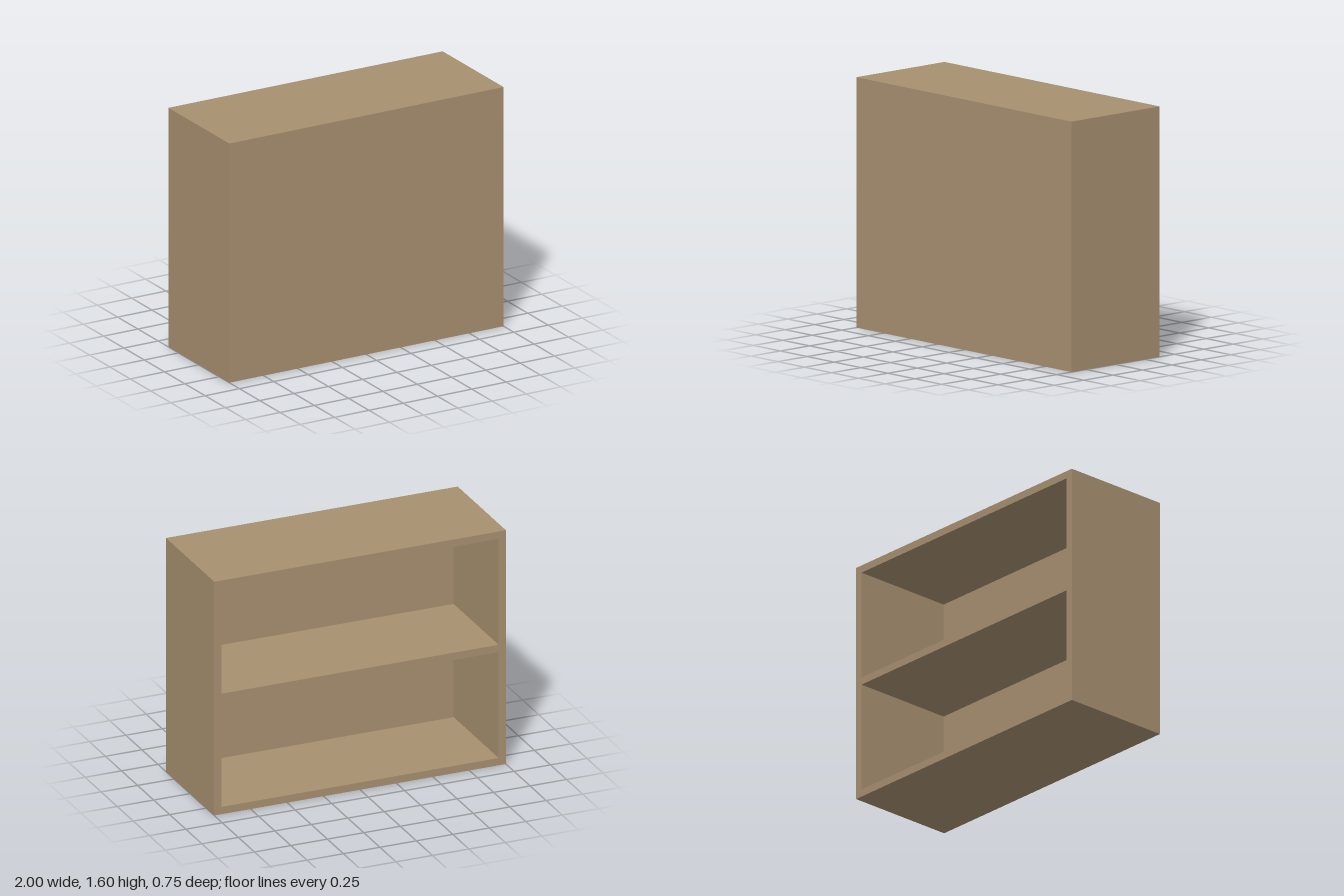
import * as THREE from 'three';

const W = 2, H = 1.6, D = 0.75, T = 0.05; // overall size and board thickness

export function createModel() {
  const group = new THREE.Group();
  group.name = 'bookcase';
  const wood = new THREE.MeshStandardMaterial({ color: 0xa89070 });

  const board = (name, w, h, d, x, y, z) => {
    const mesh = new THREE.Mesh(new THREE.BoxGeometry(w, h, d), wood);
    mesh.name = name;
    mesh.position.set(x, y, z);
    group.add(mesh);
  };

  // Closed panel on the +z face; the compartments open towards -z
  board('panel', W, H, T, 0, H / 2, (D - T) / 2);

  // Side boards
  const depth = D - T, z = -T / 2;
  for (const [name, s] of [['leftSide', 1], ['rightSide', -1]]) {
    board(name, T, H, depth, s * (W - T) / 2, H / 2, z);
  }

  // Bottom, middle shelf and top between the sides
  ['bottom', 'shelf', 'top'].forEach((name, i) => {
    board(name, W - 2 * T, T, depth, 0, T / 2 + i * (H - T) / 2, z);
  });

  return group;
}
